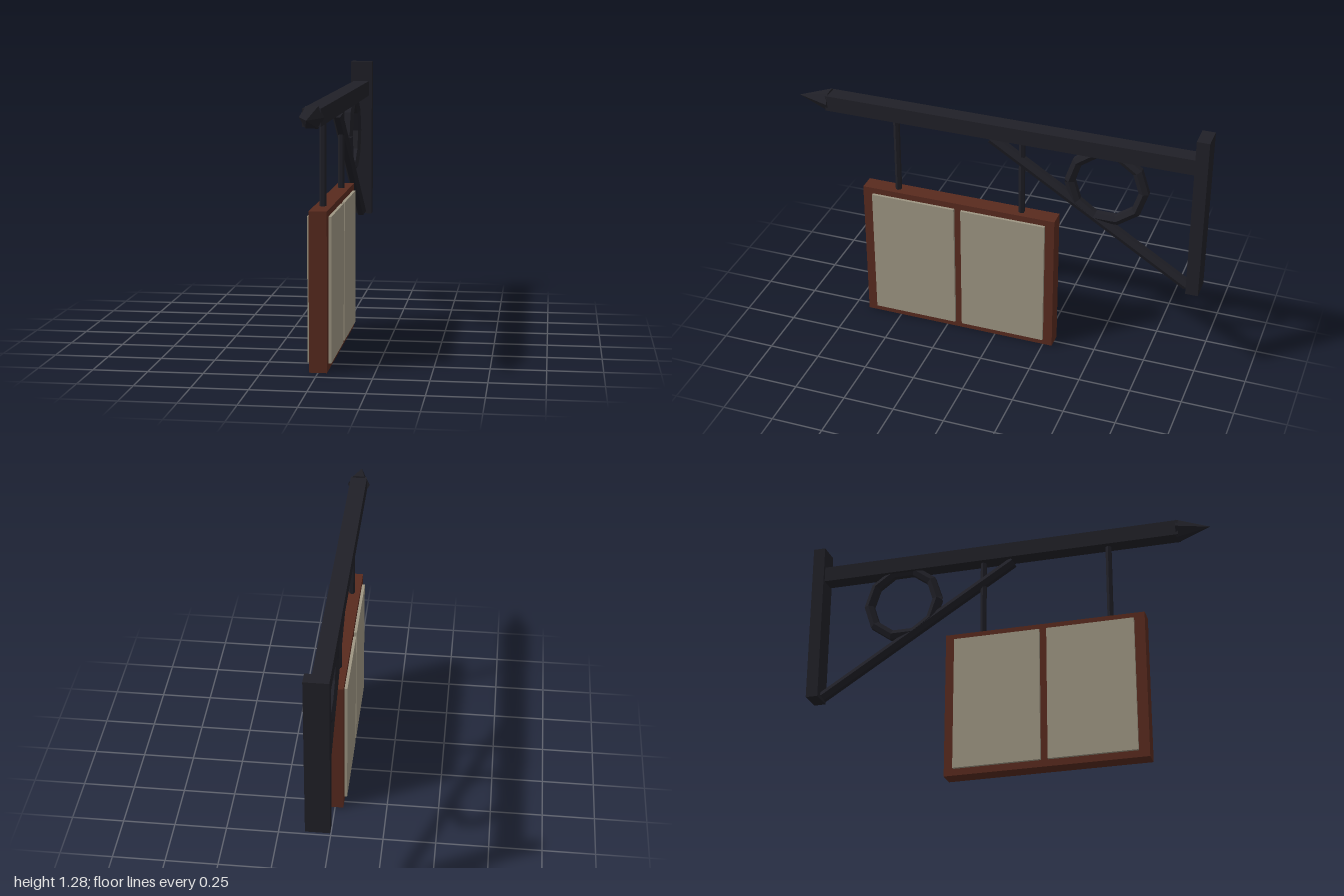
import * as THREE from 'three';

const mat = (color) => new THREE.MeshStandardMaterial({ color, flatShading: true, side: THREE.DoubleSide });

// Circle in the YZ plane whose end cuts stay square to the first and last segment
class RingCurve extends THREE.Curve {
  constructor(radius, segments) {
    super();
    this.radius = radius;
    this.segments = segments;
  }
  getPoint(t, target = new THREE.Vector3()) {
    const a = t * Math.PI * 2;
    return target.set(0, Math.sin(a) * this.radius, Math.cos(a) * this.radius);
  }
  getTangent(t, target = new THREE.Vector3()) {
    const half = 0.5 / this.segments;
    const a = THREE.MathUtils.clamp(t, half, 1 - half) * Math.PI * 2;
    return target.set(0, Math.cos(a), -Math.sin(a));
  }
}

export function createModel() {
  const group = new THREE.Group();
  const iron = mat(0x202027);
  const wood = mat(0x582a1e);
  const panel = mat(0x9d9582);

  const add = (name, geometry, material, x, y, z) => {
    const mesh = new THREE.Mesh(geometry, material);
    mesh.name = name;
    mesh.position.set(x, y, z);
    group.add(mesh);
    return mesh;
  };
  // Box centred on x = 0, given by its half width and its y and z ranges
  const box = (name, material, halfW, y0, y1, z0, z1) =>
    add(name, new THREE.BoxGeometry(halfW * 2, y1 - y0, z1 - z0), material, 0, (y0 + y1) / 2, (z0 + z1) / 2);
  // Six-sided bar between two points in the YZ plane, corners towards +-x
  const hexBar = (name, r, y0, z0, y1, z1) => {
    const length = Math.hypot(y1 - y0, z1 - z0);
    const geometry = new THREE.CylinderGeometry(r, r, length, 6).rotateY(Math.PI / 6);
    add(name, geometry, iron, 0, (y0 + y1) / 2, (z0 + z1) / 2).rotation.x = Math.atan2(z1 - z0, y1 - y0);
  };

  // Wall bracket
  box('wallPlate', iron, 0.055, 0.475, 1.285, -1, -0.94);
  box('arm', iron, 0.04, 1.105, 1.182, -0.94, 0.85);
  const tip = new THREE.ConeGeometry(0.055, 0.16, 6).rotateY(Math.PI / 6).rotateX(Math.PI / 2);
  add('armTip', tip, iron, 0, 1.144, 0.92);
  hexBar('brace', 0.027, 0.488, -0.935, 1.093, 0.03);
  add('ring', new THREE.TubeGeometry(new RingCurve(0.177, 10), 10, 0.027, 6, false), iron, 0, 0.944, -0.53);

  // Hanging sign
  for (const z of [0.505, -0.12]) hexBar('hangerRod', 0.0155, 0.71, z, 1.115, z);
  box('signFrame', wood, 0.04, 0, 0.72, -0.295, 0.675);
  for (const z of [-0.25, 0.205]) box('signPanel', panel, 0.054, 0.033, 0.69, z, z + 0.42);

  return group;
}
